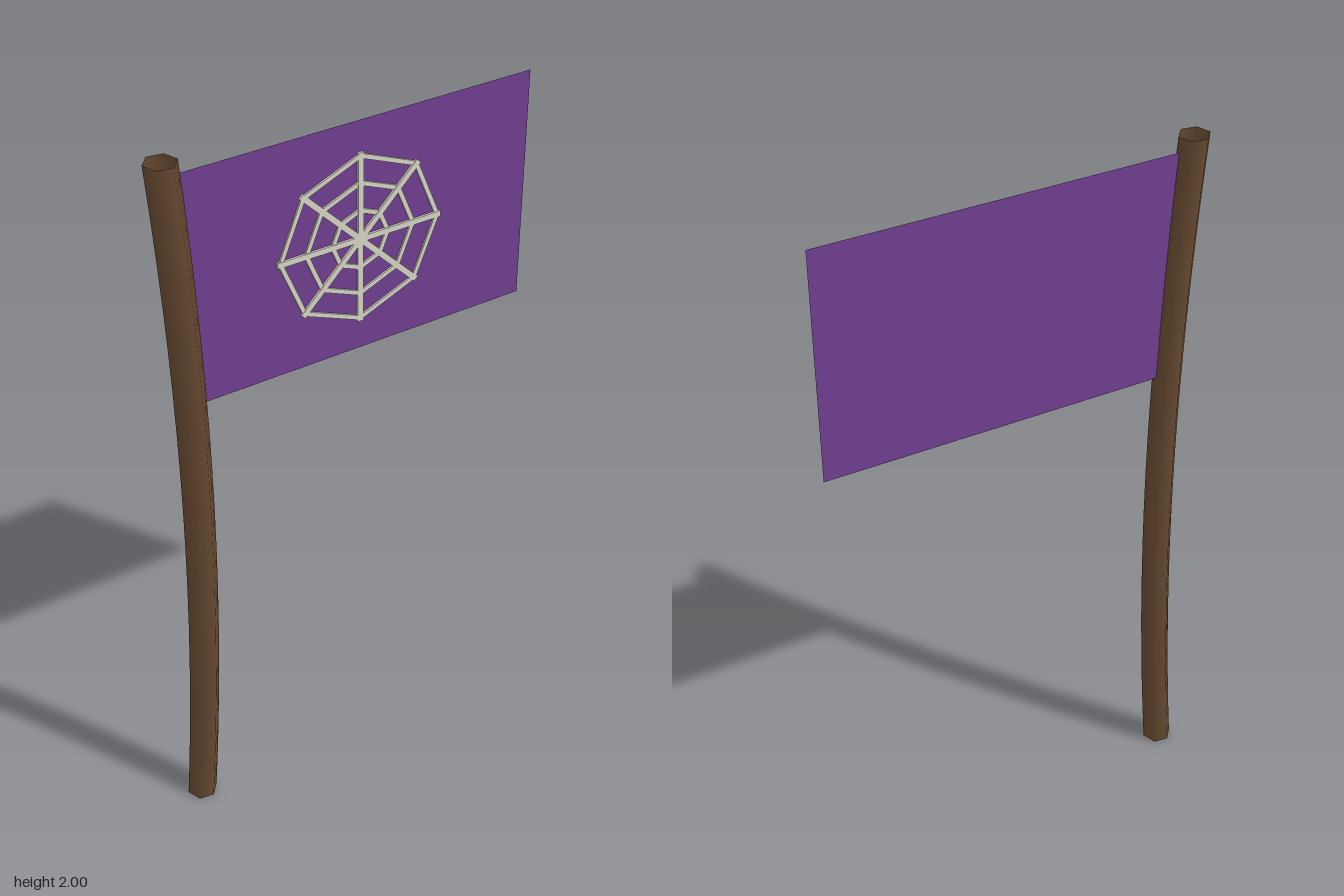
import * as THREE from 'three';

const poleMat = new THREE.MeshStandardMaterial({ color: 0x654830, side: THREE.DoubleSide });
const clothMat = new THREE.MeshStandardMaterial({ color: 0x713f90, side: THREE.DoubleSide });
const webMat = new THREE.MeshStandardMaterial({ color: 0xd6d6c6 });

// Open six-sided pole, bowed towards the flag
function makePole() {
  const geo = new THREE.CylinderGeometry(0.042, 0.042, 2, 6, 16, true, THREE.MathUtils.degToRad(20));
  const p = geo.attributes.position;
  for (let i = 0; i < p.count; i++) {
    const bow = 1 - p.getY(i) ** 2;
    p.setXYZ(i, p.getX(i) - 0.495 + 0.04 * bow, p.getY(i) + 1, p.getZ(i) + 0.006 * bow);
  }
  const pole = new THREE.Mesh(geo, poleMat);
  pole.name = 'pole';
  return pole;
}

// Thin flat strip between two points of the emblem
function strip(name, a, b, width, depth) {
  const d = b.clone().sub(a);
  const mesh = new THREE.Mesh(new THREE.BoxGeometry(d.length(), width, depth), webMat);
  mesh.position.set((a.x + b.x) / 2, (a.y + b.y) / 2, depth / 2);
  mesh.rotation.z = d.angle();
  mesh.name = name;
  return mesh;
}

// Web emblem: eight spokes and three octagonal rings
function makeWeb() {
  const web = new THREE.Group();
  web.name = 'webEmblem';
  const polar = (r, i) => new THREE.Vector2(Math.cos(i * Math.PI / 4), Math.sin(i * Math.PI / 4)).multiplyScalar(r);
  for (let i = 0; i < 4; i++) {
    web.add(strip('spoke', polar(0.237, i + 4), polar(0.237, i), 0.016, 0.006));
  }
  for (const r of [0.08, 0.155, 0.228]) {
    for (let i = 0; i < 8; i++) {
      web.add(strip('ringStrand', polar(r, i), polar(r, i + 1), 0.012, 0.005));
    }
  }
  web.position.set(0.032, 1.64, 0.001);
  return web;
}

export function createModel() {
  const model = new THREE.Group();
  model.name = 'flagOnPole';

  const flag = new THREE.Mesh(new THREE.PlaneGeometry(1, 0.64), clothMat);
  flag.position.set(0.032, 1.64, 0);
  flag.name = 'flagCloth';

  model.add(makePole(), flag, makeWeb());
  return model;
}
